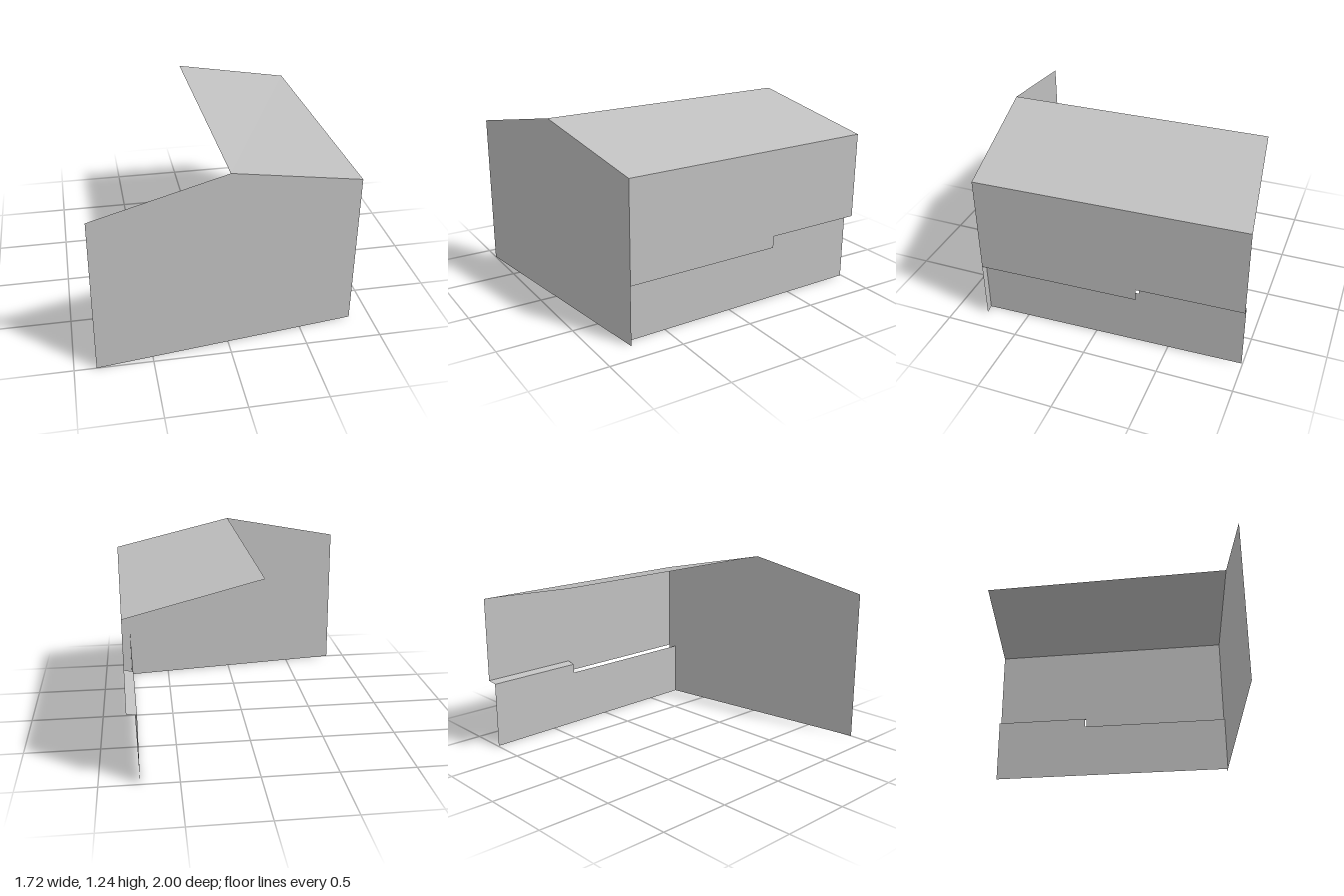
import * as THREE from 'three';

export function createModel() {
  const model = new THREE.Group();
  model.name = 'houseShell';
  const plaster = new THREE.MeshStandardMaterial({ color: 0xc0c0c0, side: THREE.DoubleSide, flatShading: true });
  plaster.name = 'plainGrey';

  // Flat convex panel from corners listed counter-clockwise as seen from outside
  const panel = (name, corners) => {
    const geometry = new THREE.BufferGeometry();
    geometry.setAttribute('position', new THREE.Float32BufferAttribute(corners.flat(), 3));
    const index = [];
    for (let i = 1; i < corners.length - 1; i++) index.push(0, i, i + 1);
    geometry.setIndex(index);
    geometry.computeVertexNormals();
    const mesh = new THREE.Mesh(geometry, plaster);
    mesh.name = name;
    model.add(mesh);
  };

  // The side wall runs back along a slightly skewed line
  const front = 0.78, step = -0.3, back = -1;
  const eaves = 1.06, ridge = 1.24, lowTop = 0.395, ledgeTop = 0.474, ledgeLow = 0.461;
  const inset = 0.065, skew = 0.108;
  const outer = (y, z) => [0.86 - 0.05 * (front - z) / (front - back), y, z];
  const inner = (y, z) => {
    const [x] = outer(y, z);
    return [x - inset, y, z + (z === front ? inset * 0.128 : z === back ? inset * skew : 0)];
  };
  const wall = (name, at, z0, z1, y0, y1) =>
    panel(name, [at(y0, z0), at(y0, z1), at(y1, z1), at(y1, z0)]);

  // Gabled front wall
  panel('frontWall', [[-0.86, 0, 1], [0.86, 0, front], [0.86, eaves, front], [0, ridge, 0.89], [-0.86, eaves, 1]]);

  // Single roof slope
  panel('roofSlope', [[0, ridge, 0.89], outer(eaves, front), outer(eaves, back), [-0.03, ridge, -0.89]]);

  // Overhanging upper wall, stepped along its lower edge
  wall('upperWallFront', outer, front, step, lowTop, eaves);
  wall('upperWallBack', outer, step, back, ledgeTop, eaves);

  // Recessed lower wall
  wall('lowerWallFront', inner, front, step, 0, lowTop);
  wall('lowerWallBack', inner, step, back, 0, ledgeLow);

  // Sloping ledge joining the two walls at the back
  panel('ledge', [inner(ledgeLow, step), inner(ledgeLow, back), outer(ledgeTop, back), outer(ledgeTop, step)]);

  return model;
}
